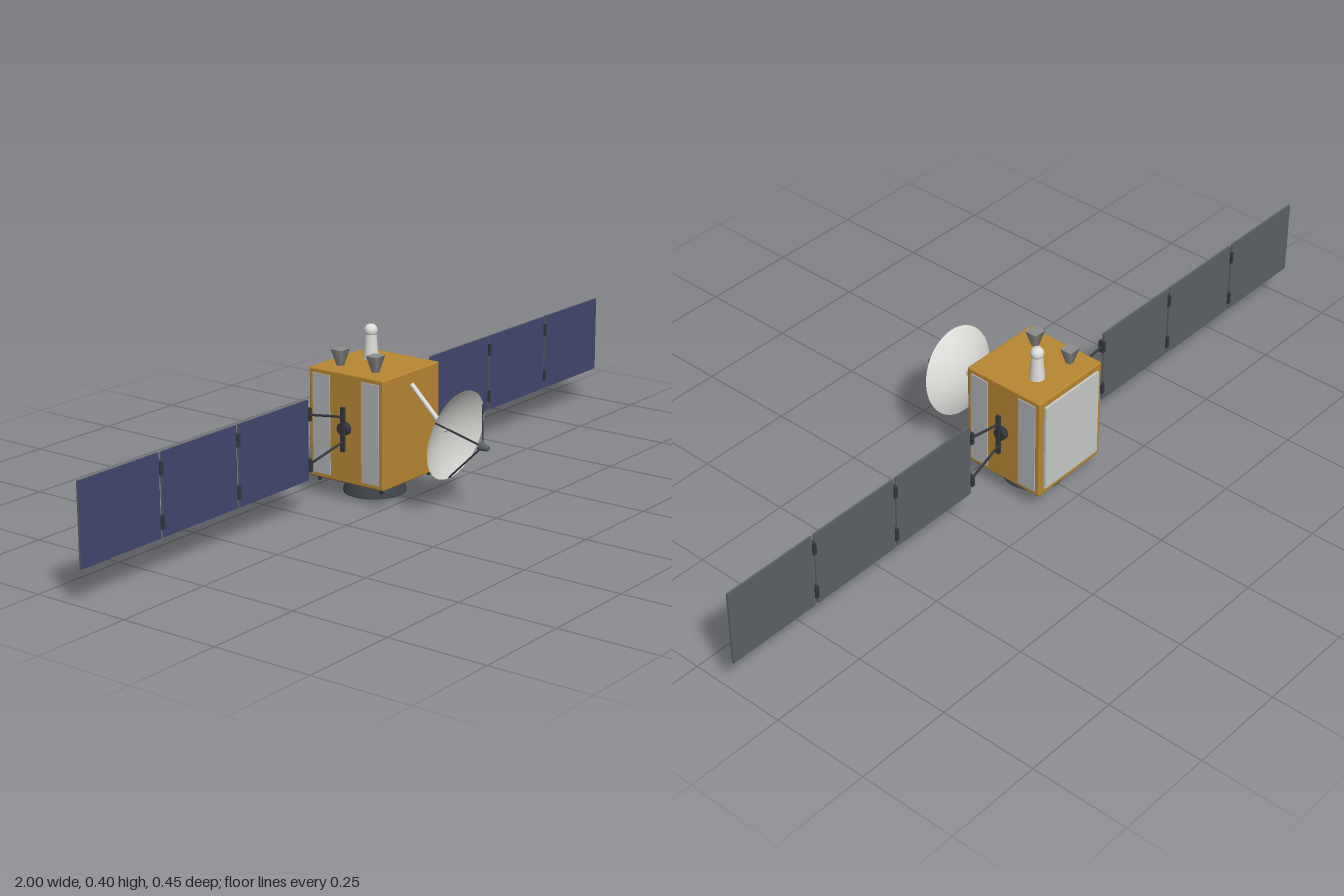
import * as THREE from 'three';
import { RoundedBoxGeometry } from 'three/addons/geometries/RoundedBoxGeometry.js';

function material(name, color, side = THREE.FrontSide) {
  const m = new THREE.MeshStandardMaterial({ color, side });
  m.name = name;
  return m;
}

export function createModel() {
  const gold = material('gold foil', 0xb88732);
  const white = material('white paint', 0xdcdcd8, THREE.DoubleSide);
  const radiatorGrey = material('radiator grey', 0xb0b3b6);
  const backWhite = material('pale radiator', 0xc8cac6);
  const cellBlue = material('solar cell blue', 0x41476e);
  const panelGrey = material('panel backing grey', 0x5c6167);
  const dark = material('dark metal', 0x33373c);
  const engineDark = material('engine metal', 0x3f444a, THREE.DoubleSide);
  const hornGrey = material('horn grey', 0x8c8c8c, THREE.DoubleSide);

  const model = new THREE.Group();
  model.name = 'satellite';

  const add = (parent, name, geometry, mat, x = 0, y = 0, z = 0) => {
    const mesh = new THREE.Mesh(geometry, mat);
    mesh.name = name;
    mesh.position.set(x, y, z);
    parent.add(mesh);
    return mesh;
  };
  const box = (parent, name, mat, w, h, d, x, y, z) =>
    add(parent, name, new THREE.BoxGeometry(w, h, d), mat, x, y, z);
  // Round rod between two points
  const rod = (parent, name, mat, from, to, radius) => {
    const a = new THREE.Vector3(...from), b = new THREE.Vector3(...to);
    const mesh = add(parent, name, new THREE.CylinderGeometry(radius, radius, a.distanceTo(b), 10), mat);
    mesh.position.copy(a).add(b).multiplyScalar(0.5);
    mesh.quaternion.setFromUnitVectors(new THREE.Vector3(0, 1, 0), b.sub(a).normalize());
    return mesh;
  };
  const lathe = (points, segments = 40) =>
    new THREE.LatheGeometry(points.map(([r, y]) => new THREE.Vector2(r, y)), segments);

  // Main body and its radiators
  const midZ = -0.109, midY = 0.183;
  add(model, 'body', new RoundedBoxGeometry(0.222, 0.272, 0.222, 2, 0.004), gold, 0, 0.181, midZ);
  box(model, 'backRadiator', backWhite, 0.19, 0.236, 0.006, 0, 0.182, -0.223);
  for (const s of [-1, 1]) {
    for (const z of [-0.036, -0.182]) {
      box(model, 'sideRadiator', radiatorGrey, 0.004, 0.248, 0.051, s * 0.112, 0.181, z);
    }
  }

  // Engine skirt, inner nozzle and corner thrusters
  add(model, 'engineSkirt', lathe([[0.077, 0], [0.077, 0.006], [0.062, 0.046]]), engineDark, 0, 0, midZ);
  add(model, 'engineSkirtRim', new THREE.RingGeometry(0.069, 0.077, 40).rotateX(Math.PI / 2), engineDark, 0, 0.0005, midZ);
  add(model, 'engineSkirtLining', lathe([[0.069, 0], [0.056, 0.046]]), engineDark, 0, 0, midZ);
  add(model, 'engineNozzle', lathe([[0.034, 0.008], [0.028, 0.022], [0.014, 0.046]], 28), engineDark, 0, 0, midZ);
  for (const x of [-0.094, 0.094]) {
    for (const z of [-0.016, -0.203]) {
      add(model, 'thruster', new THREE.CylinderGeometry(0.007, 0.004, 0.014, 14), dark, x, 0.039, z);
    }
  }

  // Antennas on the roof
  for (const z of [-0.06, -0.166]) {
    const horn = new THREE.CylinderGeometry(0.023, 0.009, 0.041, 4);
    add(model, 'hornAntenna', horn.rotateY(Math.PI / 4), hornGrey, -0.059, 0.337, z);
  }
  add(model, 'mast', new THREE.CylinderGeometry(0.013, 0.019, 0.072, 24), white, 0.035, 0.353, -0.146);
  add(model, 'mastCap', new THREE.SphereGeometry(0.0165, 24, 16), white, 0.035, 0.387, -0.146);

  // Dish antenna, tilted slightly down; local +y is its axis
  rod(model, 'dishBoom', white, [0, 0.285, 0.002], [0, 0.187, 0.104], 0.006);
  const dish = new THREE.Group();
  dish.name = 'dishAntenna';
  dish.position.set(0, 0.188, 0.101);
  dish.rotation.x = THREE.MathUtils.degToRad(100.3);
  model.add(dish);
  const radius = 0.112, depth = 0.032, profile = [];
  for (let i = 0; i <= 12; i++) profile.push([radius * i / 12, depth * (i / 12) ** 2]);
  add(dish, 'reflector', lathe(profile, 48), white);
  for (let i = 0; i < 3; i++) {
    const a = i * Math.PI * 2 / 3, sx = Math.sin(a), cz = Math.cos(a);
    rod(dish, 'feedStrut', dark, [sx * 0.11, depth, cz * 0.11], [sx * 0.006, 0.106, cz * 0.006], 0.0022);
  }
  add(dish, 'feed', new THREE.CylinderGeometry(0.006, 0.012, 0.024, 18), panelGrey, 0, 0.115, 0);

  // Solar wings, one on each side
  const panelZ = -0.1205;
  for (const s of [-1, 1]) {
    const wing = new THREE.Group();
    wing.name = s > 0 ? 'leftSolarWing' : 'rightSolarWing';
    model.add(wing);

    // Rotary drive and yoke
    const hub = add(wing, 'driveHub', new THREE.CylinderGeometry(0.016, 0.016, 0.018, 20), dark, s * 0.118, midY, midZ);
    hub.rotation.z = Math.PI / 2;
    box(wing, 'yokeBar', dark, 0.007, 0.11, 0.011, s * 0.126, midY, -0.107);
    for (const v of [-1, 1]) {
      rod(wing, 'yokeArm', dark, [s * 0.128, midY + v * 0.032, -0.109], [s * 0.24, midY + v * 0.062, panelZ], 0.003);
    }

    // Panels: cells in front, plain backing behind, joined by hinges
    const faces = [panelGrey, panelGrey, panelGrey, panelGrey, cellBlue, panelGrey];
    for (let i = 0; i < 3; i++) {
      const inner = 0.241 + i * 0.2555;
      box(wing, 'solarPanel', faces, 0.248, 0.197, 0.005, s * (inner + 0.124), midY, panelZ);
      for (const v of [-1, 1]) {
        box(wing, 'panelHinge', dark, 0.009, 0.031, 0.015, s * (inner - 0.004), midY + v * 0.062, panelZ);
      }
    }
  }
  return model;
}
